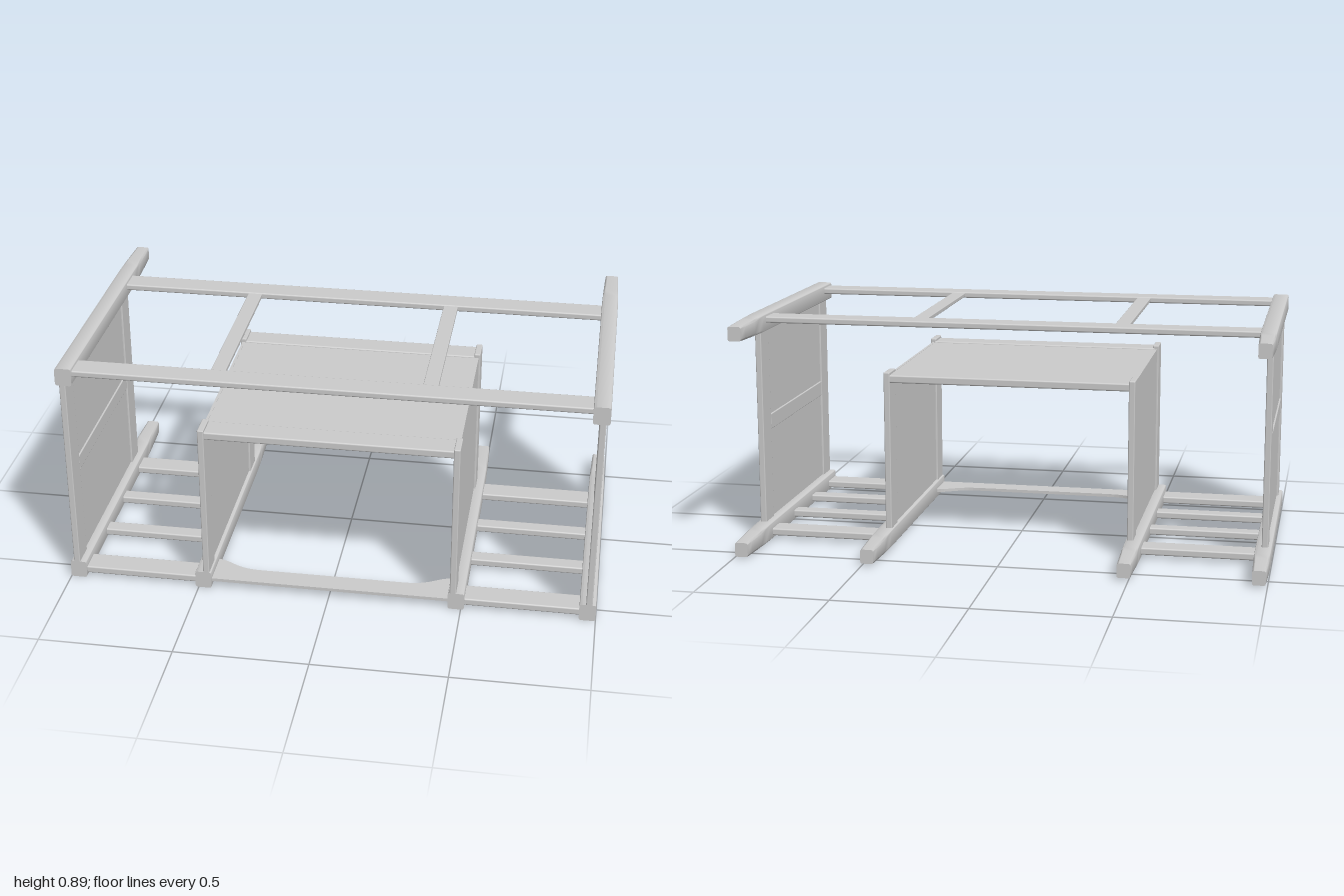
import * as THREE from 'three';
import { toCreasedNormals } from 'three/addons/utils/BufferGeometryUtils.js';
import { RoundedBoxGeometry } from 'three/addons/geometries/RoundedBoxGeometry.js';

const material = new THREE.MeshStandardMaterial({ color: 0xcccccc });

export function createModel() {
  const model = new THREE.Group();

  function add(name, geometry) {
    const mesh = new THREE.Mesh(geometry, material);
    mesh.name = name;
    model.add(mesh);
    return mesh;
  }

  // Box given by its extents; a radius softens the edges
  function bar(name, [x0, x1], [y0, y1], [z0, z1], radius = 0) {
    const size = [x1 - x0, y1 - y0, z1 - z0];
    const geometry = radius
      ? new RoundedBoxGeometry(...size, 2, radius)
      : new THREE.BoxGeometry(...size);
    add(name, geometry).position.set((x0 + x1) / 2, (y0 + y1) / 2, (z0 + z1) / 2);
  }

  // Mirrored pair of bars, extents given for the +x side
  function pair(name, [x0, x1], y, z, radius) {
    bar(name + 'Left', [x0, x1], y, z, radius);
    bar(name + 'Right', [-x1, -x0], y, z, radius);
  }

  // Softened square rail running front to back, its rear tip tapered
  function rail(name, x, y) {
    const h = 0.034, r = 0.01, w = 0.031;
    const shape = new THREE.Shape();
    shape.moveTo(-w + r, -h);
    shape.lineTo(w - r, -h);
    shape.quadraticCurveTo(w, -h, w, -h + r);
    shape.lineTo(w, h - r);
    shape.quadraticCurveTo(w, h, w - r, h);
    shape.lineTo(-w + r, h);
    shape.quadraticCurveTo(-w, h, -w, h - r);
    shape.lineTo(-w, -h + r);
    shape.quadraticCurveTo(-w, -h, -w + r, -h);
    const geometry = new THREE.ExtrudeGeometry(shape, {
      depth: 1.15, steps: 23, curveSegments: 4, bevelEnabled: false,
    });
    geometry.translate(0, 0, -0.575);
    const p = geometry.attributes.position;
    for (let i = 0; i < p.count; i++) {
      const t = Math.max(0, (-0.3 - p.getZ(i)) / 0.275);
      const s = 1 - 0.2 * t ** 1.5;
      p.setXY(i, p.getX(i) * s, p.getY(i) * s);
    }
    add(name, toCreasedNormals(geometry, 0.9)).position.set(x, y, 0);
  }

  const front = [0.48, 0.575], back = [-0.295, -0.2], between = [-0.2, 0.48];

  // Long rails: upper outer, lower outer, lower inner
  for (const [side, s] of [['Left', 1], ['Right', -1]]) {
    rail('upperRail' + side, s * 0.969, 0.859);
    rail('lowerOuterRail' + side, s * 0.969, 0.035);
    rail('lowerInnerRail' + side, s * 0.481, 0.035);
  }

  // Outer side frames with recessed panels
  pair('outerFrontPost', [0.962, 0.986], [0.065, 0.83], front, 0.004);
  pair('outerBackPost', [0.962, 0.986], [0.065, 0.83], back, 0.004);
  pair('outerMiddleRail', [0.963, 0.985], [0.42, 0.48], between, 0.003);
  pair('outerPanel', [0.969, 0.979], [0.065, 0.83], between);

  // Inner frames
  pair('innerFrontPost', [0.457, 0.481], [0.065, 0.68], front, 0.004);
  pair('innerBackPost', [0.457, 0.481], [0.065, 0.68], back, 0.004);
  pair('innerPanel', [0.464, 0.474], [0.065, 0.665], between);

  // Raised inner shelf
  bar('shelfFrontRail', [-0.465, 0.465], [0.64, 0.67], [0.475, 0.568], 0.006);
  bar('shelfBackRail', [-0.465, 0.465], [0.64, 0.67], [-0.293, -0.2], 0.006);
  bar('shelfPanel', [-0.465, 0.465], [0.65, 0.664], [-0.205, 0.48]);

  // Top stretchers and the two battens joining them
  bar('topFrontStretcher', [-0.95, 0.95], [0.858, 0.882], [0.47, 0.565], 0.006);
  bar('topBackStretcher', [-0.95, 0.95], [0.858, 0.882], [-0.3, -0.205], 0.006);
  bar('topBattenRight', [-0.445, -0.39], [0.862, 0.878], [-0.21, 0.475], 0.003);
  bar('topBattenLeft', [0.33, 0.385], [0.862, 0.878], [-0.21, 0.475], 0.003);

  // Lower slats between outer and inner rails
  for (const [i, z] of [[0.47, 0.565], [0.23, 0.29], [-0.015, 0.042], [-0.295, -0.205]].entries()) {
    pair('lowerSlat' + (i + 1), [0.5, 0.95], [0.015, 0.043], z, 0.006);
  }

  // Thin front footboard, flaring at both ends
  const foot = new THREE.Shape();
  foot.moveTo(-0.46, -0.568);
  foot.lineTo(0.46, -0.568);
  foot.lineTo(0.46, -0.43);
  foot.bezierCurveTo(0.4, -0.43, 0.38, -0.485, 0.28, -0.485);
  foot.lineTo(-0.28, -0.485);
  foot.bezierCurveTo(-0.38, -0.485, -0.4, -0.43, -0.46, -0.43);
  const footGeometry = new THREE.ExtrudeGeometry(foot, { depth: 0.012, bevelEnabled: false });
  footGeometry.rotateX(-Math.PI / 2);
  add('footboard', footGeometry).position.y = 0.028;

  return model;
}
